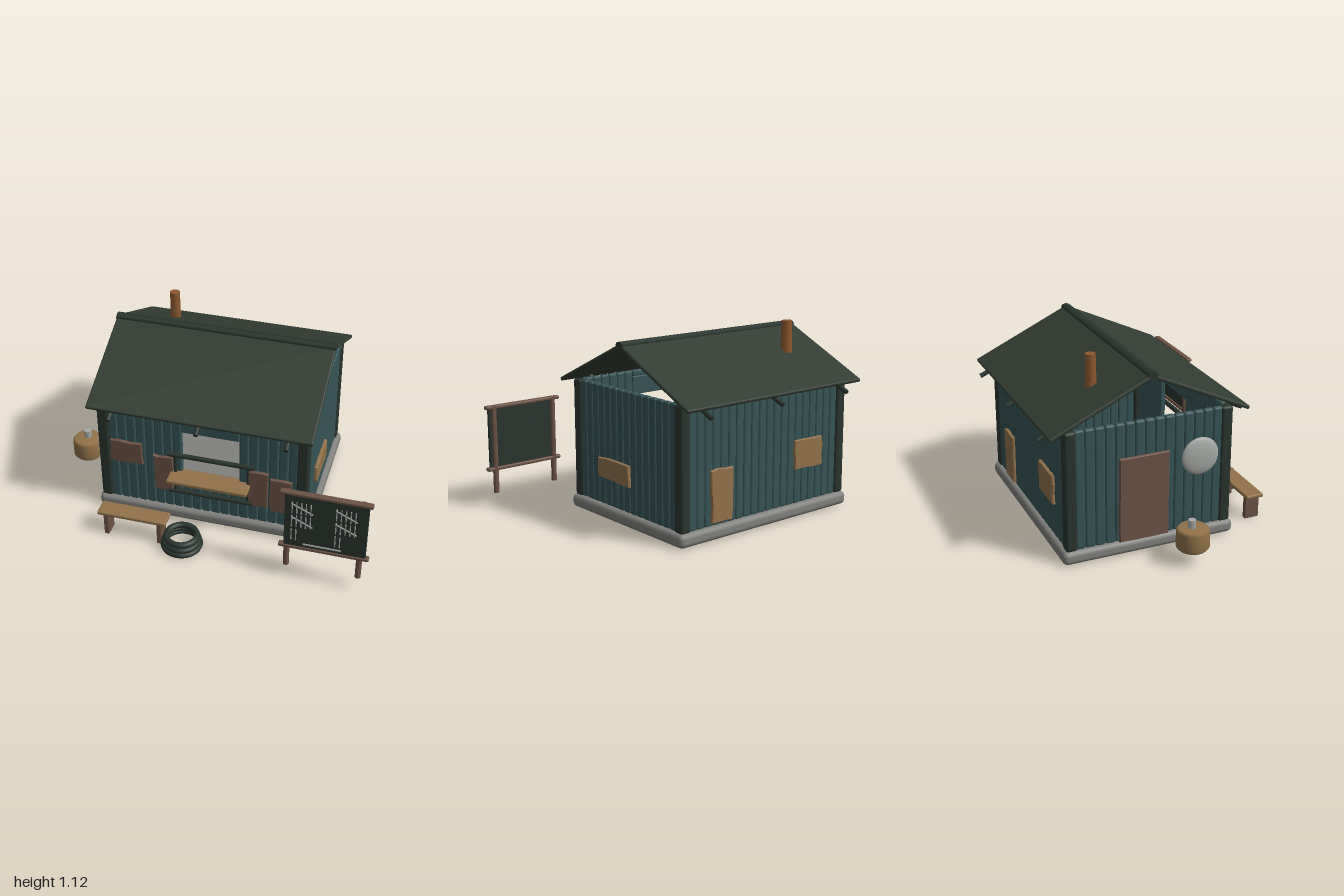
import * as THREE from 'three';
import { RoundedBoxGeometry } from 'three/addons/geometries/RoundedBoxGeometry.js';

const paint = (name, color) => {
  const m = new THREE.MeshStandardMaterial({ color });
  m.name = name;
  return m;
};

export function createModel() {
  const model = new THREE.Group();
  model.name = 'woodenKiosk';
  const teal = paint('tealPlank', 0x365456);
  const roofGreen = paint('roofGreen', 0x323c32);
  const darkGreen = paint('darkGreen', 0x29342e);
  const tan = paint('tanWood', 0x92724a);
  const brown = paint('brownWood', 0x6c5244);
  const stone = paint('stone', 0x80807d);
  const pale = paint('paleGrey', 0xa6a9a5);
  const rust = paint('rustyPipe', 0x8c5830);

  let seed = 7;
  const rand = () => (seed = (seed * 16807) % 2147483647) / 2147483647;

  const add = (name, geo, mat, x, y, z, parent = model) => {
    const m = new THREE.Mesh(geo, mat);
    m.name = name;
    m.position.set(x, y, z);
    parent.add(m);
    return m;
  };
  // box given by its limits, with softened edges
  const block = (name, mat, x0, x1, y0, y1, z0, z1, r = 0.008, parent = model) => {
    const s = [x1 - x0, y1 - y0, z1 - z0];
    return add(name, new RoundedBoxGeometry(...s, 2, Math.min(r, Math.min(...s) * 0.49)), mat,
      (x0 + x1) / 2, (y0 + y1) / 2, (z0 + z1) / 2, parent);
  };
  // round pole between two points
  const pole = (name, mat, a, b, r, parent = model) => {
    const p = new THREE.Vector3(...a), d = new THREE.Vector3(...b).sub(p);
    const m = add(name, new THREE.CylinderGeometry(r, r, d.length(), 10), mat, 0, 0, 0, parent);
    m.position.copy(p).addScaledVector(d, 0.5);
    m.quaternion.setFromUnitVectors(new THREE.Vector3(0, 1, 0), d.normalize());
    return m;
  };

  // foundation
  block('foundation', stone, -0.7, 0.6, 0.005, 0.085, -0.64, 0.395, 0.03);

  // corner posts
  for (const [x, s] of [[-0.685, 1], [0.58, -1]])
    for (const [z, t] of [[0.378, -1], [-0.62, 1]])
      block('cornerPost', darkGreen, Math.min(x, x + s * 0.068), Math.max(x, x + s * 0.068),
        0.08, 0.79, Math.min(z, z + t * 0.068), Math.max(z, z + t * 0.068), 0.016);

  // plank walls
  const walls = new THREE.Group();
  walls.name = 'walls';
  model.add(walls);
  const frontBack = (a, b, n, y0, y1, z) => {
    const w = (b - a) / n;
    for (let i = 0; i < n; i++)
      block('wallPlank', teal, a + i * w, a + (i + 1) * w, y0, y1, z - 0.018, z + 0.018, 0.013, walls);
  };
  frontBack(-0.62, 0.52, 20, 0.08, 0.79, -0.593);
  frontBack(-0.62, -0.172, 8, 0.08, 0.79, 0.351);
  frontBack(0.172, 0.52, 6, 0.08, 0.79, 0.351);
  frontBack(-0.172, 0.172, 6, 0.08, 0.335, 0.351);
  for (const [x] of [[-0.657], [0.552]])
    for (let i = 0; i < 15; i++) {
      const w = 0.88 / 15, z = -0.56 + i * w;
      block('wallPlank', teal, x - 0.018, x + 0.018, 0.08, 0.79, z, z + w, 0.013, walls);
    }
  block('hatchHeader', teal, -0.172, 0.172, 0.64, 0.755, 0.333, 0.371, 0.008, walls);
  block('hatchHeaderTop', teal, -0.172, 0.172, 0.755, 0.79, 0.333, 0.369, 0.008, walls);

  // roof slopes, ridge and eave rods
  const rz = -0.123;
  for (const s of [1, -1]) {
    const slope = add('roofSlope', new RoundedBoxGeometry(1.325, 0.023, 0.65, 2, 0.009), roofGreen,
      -0.05, 0.911, rz + s * 0.292);
    slope.rotation.x = s * Math.atan2(0.272, 0.585);
    for (const x of [-0.57, -0.05, 0.467])
      pole('eaveRod', darkGreen, [x, 0.79, rz + s * 0.47], [x, 0.727, rz + s * 0.61], 0.014);
  }
  const ridge = add('ridgeCap', new THREE.CylinderGeometry(0.03, 0.03, 1.325, 8), darkGreen, -0.05, 1.05, rz);
  ridge.rotation.z = Math.PI / 2;
  ridge.scale.x = 0.7;

  // chimney pipe
  add('chimney', new THREE.CylinderGeometry(0.031, 0.035, 0.215, 8), rust, -0.432, 1.012, -0.37);

  // boards with uneven outlines, nailed on the walls
  const board = (name, mat, w, h, x, y, z, turn, rough = 0.012) => {
    const pts = [];
    const corners = [[-1, -1], [1, -1], [1, 1], [-1, 1]];
    corners.forEach(([cx, cy], i) => {
      const [nx, ny] = corners[(i + 1) % 4];
      for (let k = 0; k < 3; k++)
        pts.push(new THREE.Vector2(
          (cx + (nx - cx) * k / 3) * (w / 2 - 0.004) - cx * rand() * rough,
          (cy + (ny - cy) * k / 3) * (h / 2 - 0.004) - cy * rand() * rough));
    });
    const geo = new THREE.ExtrudeGeometry(new THREE.Shape(pts),
      { depth: 0.012, bevelThickness: 0.006, bevelSize: 0.004, bevelSegments: 1 });
    add(name, geo, mat, x, y, z).rotation.y = turn;
  };
  const q = Math.PI / 2;
  board('frontPatch', brown, 0.21, 0.16, -0.51, 0.44, 0.37, 0);
  board('leftShutter', brown, 0.125, 0.26, -0.283, 0.33, 0.37, 0);
  board('rightShutter', brown, 0.13, 0.26, 0.288, 0.33, 0.37, 0);
  board('leaningBoard', brown, 0.135, 0.24, 0.422, 0.305, 0.37, 0);
  board('sidePatch', tan, 0.3, 0.135, 0.57, 0.305, -0.013, q);
  board('backTallPatch', tan, 0.165, 0.32, 0.293, 0.25, -0.61, 2 * q);
  board('backPatch', tan, 0.24, 0.19, -0.377, 0.375, -0.61, 2 * q);
  board('sideDoor', brown, 0.3, 0.51, -0.675, 0.335, -0.16, -q, 0.003);

  // round dish on the side wall
  const dish = add('wallDish', new THREE.SphereGeometry(0.113, 24, 12), pale, -0.68, 0.52, 0.18);
  dish.scale.x = 0.23;

  // serving hatch frame and counter
  for (const y of [0.48, 0.216]) pole('hatchRail', darkGreen, [-0.252, y, 0.38], [0.262, y, 0.38], 0.015);
  for (const x of [-0.21, 0.23]) pole('hatchUpright', darkGreen, [x, 0.216, 0.376], [x, 0.48, 0.376], 0.011);
  block('counter', tan, -0.24, 0.245, 0.332, 0.358, 0.34, 0.477);

  // bench
  block('benchSeat', tan, -0.618, -0.198, 0.142, 0.166, 0.527, 0.637);
  for (const x of [-0.567, -0.24]) block('benchLeg', brown, x - 0.015, x + 0.015, 0, 0.145, 0.54, 0.63, 0.005);

  // coiled hose
  [[0.019, 0.107], [0.049, 0.1], [0.08, 0.09]].forEach(([y, r]) => {
    add('hoseCoil', new THREE.TorusGeometry(r, 0.018, 8, 32), darkGreen, -0.108, y, 0.607).rotation.x = q;
  });

  // gas canister
  const profile = [[0, 0], [0.08, 0], [0.0935, 0.015], [0.0935, 0.112], [0.08, 0.128], [0, 0.128]]
    .map(p => new THREE.Vector2(...p));
  add('canister', new THREE.LatheGeometry(profile, 24), tan, -0.907, 0.09, 0.032);
  add('canisterValve', new THREE.CylinderGeometry(0.024, 0.024, 0.05, 6), pale, -0.907, 0.24, 0.025);

  // chalkboard stand
  const stand = new THREE.Group();
  stand.name = 'chalkboardStand';
  model.add(stand);
  for (const x of [0.533, 0.943]) pole('standPost', brown, [x, 0.09, 0.683], [x, 0.622, 0.683], 0.017, stand);
  for (const y of [0.614, 0.238])
    block('standRail', brown, 0.487, 0.997, y - 0.011, y + 0.011, 0.67, 0.706, 0.008, stand);
  block('chalkboard', darkGreen, 0.517, 0.978, 0.24, 0.61, 0.682, 0.7, 0.004, stand);

  // chalk tally marks
  const mark = (x, y, w, h, turn = 0) => {
    add('chalkMark', new THREE.BoxGeometry(w, h, 0.006), pale, x, y, 0.706, stand).rotation.z = turn;
  };
  for (const gx of [0.56, 0.805]) {
    for (const gy of [0.525, 0.432]) {
      for (let i = 0; i < 5; i++) mark(gx + i * 0.026, gy, 0.006, 0.078);
      mark(gx + 0.055, gy, 0.135, 0.006, -0.45);
    }
    for (let i = 0; i < 2; i++) mark(gx + i * 0.026, 0.335, 0.006, 0.075);
  }
  mark(0.735, 0.275, 0.215, 0.008);

  return model;
}
